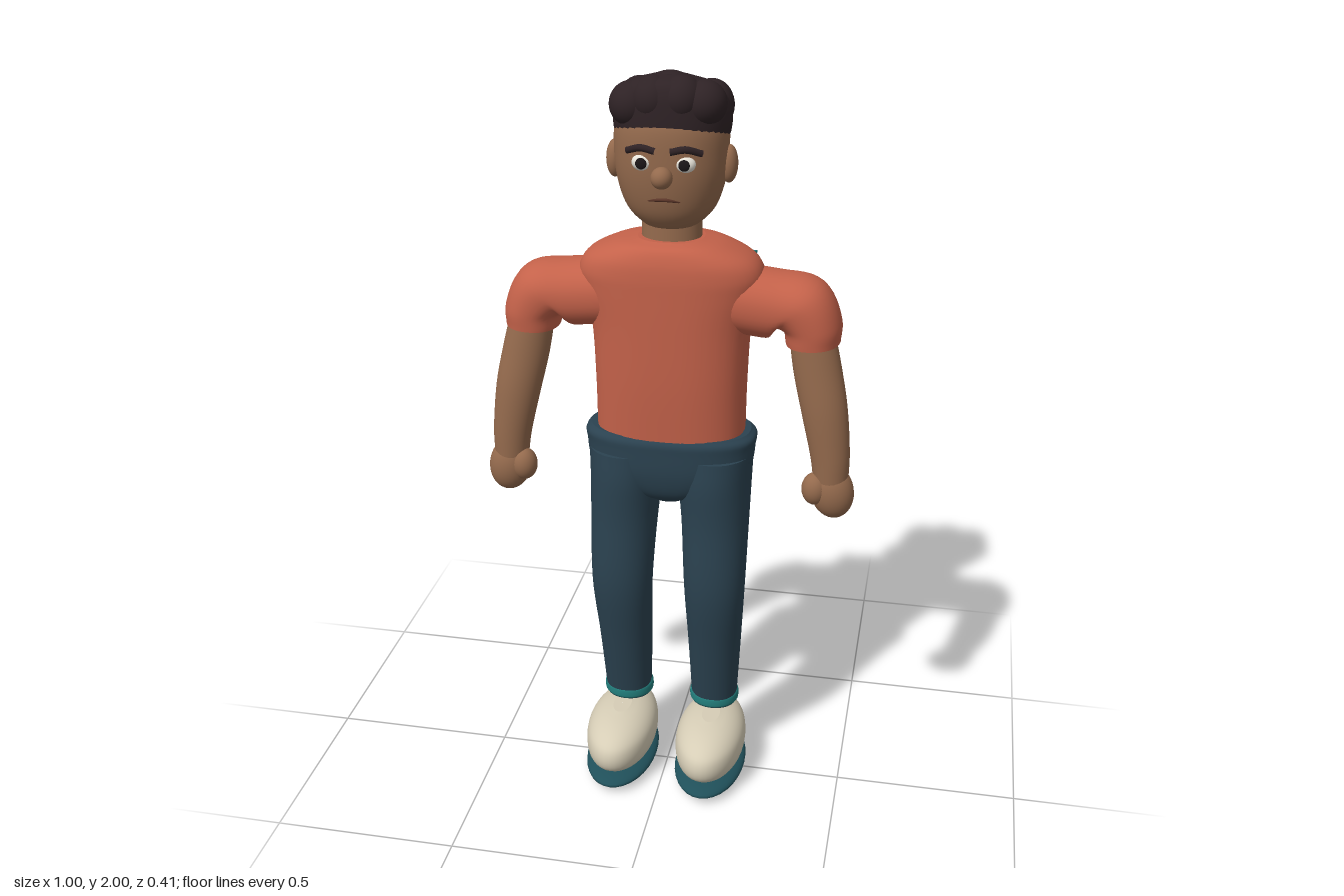
import * as THREE from 'three';

const mat = (name, color) => {
  const m = new THREE.MeshStandardMaterial({ color });
  m.name = name;
  return m;
};

// Skin over elliptical rings, listed bottom to top: [x, y, z, radiusA, radiusZ, tilt]
function loft(rows, p = 2, side = 1, n = 40, steps = 6) {
  const pos = rows.map(r => new THREE.Vector3(r[0], r[1], r[2]));
  const dim = rows.map(r => new THREE.Vector3(r[3], r[4], r[5] || 0));
  const centres = new THREE.CatmullRomCurve3(pos, false, 'catmullrom');
  const sizes = new THREE.CatmullRomCurve3(dim, false, 'catmullrom');
  const count = (rows.length - 1) * steps;
  const rings = [];
  for (let i = 0; i <= count; i++) rings.push([i / count, 1]);
  rings.unshift([0, 0.01], [0, 1]); // separate rings keep the end caps crisp
  rings.push([1, 1], [1, 0.01]);
  const power = v => Math.sign(v) * Math.pow(Math.abs(v), 2 / p);
  const verts = [], index = [];
  rings.forEach(([t, k], i) => {
    const c = centres.getPoint(t), s = sizes.getPoint(t), tilt = s.z * side;
    for (let j = 0; j < n; j++) {
      const a = j / n * Math.PI * 2;
      const u = power(Math.cos(a)) * s.x * k, v = power(Math.sin(a)) * s.y * k;
      verts.push(c.x * side + u * Math.cos(tilt), c.y + u * Math.sin(tilt), c.z + v);
      if (i === rings.length - 1 || i === 1 || i === rings.length - 3) continue;
      const q = i * n + j, r = i * n + (j + 1) % n;
      index.push(q, q + n, r, r, q + n, r + n);
    }
  });
  const g = new THREE.BufferGeometry();
  g.setAttribute('position', new THREE.Float32BufferAttribute(verts, 3));
  g.setIndex(index);
  g.computeVertexNormals();
  return g;
}

export function createModel() {
  const skin = mat('skin', 0x946a4d), shirt = mat('shirt', 0xc4624a), denim = mat('trousers', 0x2b4250);
  const teal = mat('teal trim', 0x237f7d), cream = mat('shoe cream', 0xd6cdb6), soleMat = mat('sole', 0x20505a);
  const hairMat = mat('hair', 0x2e2225), white = mat('eye white', 0xe8e4da);
  const dark = mat('pupil', 0x1b1618), lip = mat('mouth', 0x5c3629);

  const model = new THREE.Group();
  model.name = 'figure';
  const add = (name, geo, material, parent = model) => {
    const m = new THREE.Mesh(geo, material);
    m.name = name;
    parent.add(m);
    return m;
  };
  const ball = (name, material, x, y, z, rx, ry, rz, parent) => {
    const m = add(name, new THREE.SphereGeometry(1, 32, 20), material, parent);
    m.position.set(x, y, z);
    m.scale.set(rx, ry, rz);
    return m;
  };
  const tube = (name, points, r, material) => add(name, new THREE.TubeGeometry(
    new THREE.CatmullRomCurve3(points.map(q => new THREE.Vector3(...q))), 24, r, 8), material);

  // Torso and hips
  add('shirtBody', loft([
    [0, 1.045, -0.055, 0.198, 0.117], [0, 1.2, -0.055, 0.2, 0.125], [0, 1.35, -0.055, 0.208, 0.127],
    [0, 1.45, -0.055, 0.232, 0.127], [0, 1.5, -0.055, 0.238, 0.126], [0, 1.54, -0.055, 0.212, 0.12],
    [0, 1.572, -0.055, 0.145, 0.104], [0, 1.585, -0.055, 0.085, 0.075]], 2.5), shirt);
  add('hips', loft([
    [0, 0.855, -0.04, 0.04, 0.05], [0, 0.89, -0.046, 0.13, 0.095], [0, 0.95, -0.053, 0.212, 0.12],
    [0, 1.02, -0.055, 0.228, 0.125], [0, 1.045, -0.055, 0.23, 0.124], [0, 1.06, -0.055, 0.215, 0.114]], 2.5), denim);

  // Bar across the shoulder blades, lens-shaped from above
  const lens = new THREE.Shape();
  lens.moveTo(-0.2, 0.196);
  lens.quadraticCurveTo(-0.19, 0.18, -0.13, 0.176);
  lens.lineTo(0.13, 0.176);
  lens.quadraticCurveTo(0.19, 0.18, 0.2, 0.196);
  lens.quadraticCurveTo(0, 0.216, -0.2, 0.196);
  const bar = add('backBar', new THREE.ExtrudeGeometry(lens, { depth: 0.12, bevelEnabled: false, curveSegments: 16 })
    .rotateX(-Math.PI / 2), teal);
  bar.position.y = 1.39;

  // Head and neck
  const neck = add('neck', new THREE.CylinderGeometry(0.076, 0.078, 0.1, 32), skin);
  neck.position.set(0, 1.6, -0.057);
  neck.scale.z = 0.85;
  add('head', loft([
    [0, 1.61, -0.053, 0.045, 0.045], [0, 1.625, -0.053, 0.075, 0.07], [0, 1.665, -0.053, 0.112, 0.097],
    [0, 1.73, -0.053, 0.135, 0.114], [0, 1.8, -0.053, 0.143, 0.12], [0, 1.88, -0.053, 0.138, 0.116],
    [0, 1.94, -0.053, 0.1, 0.085]], 2.15), skin);
  ball('nose', skin, 0, 1.765, 0.078, 0.027, 0.027, 0.028);
  tube('mouth', [[-0.04, 1.7, 0.046], [0, 1.705, 0.057], [0.04, 1.7, 0.046]], 0.0045, lip);

  // Hair cap tipped up at the front, with soft lumps on top
  const hair = new THREE.Group();
  hair.name = 'hair';
  model.add(hair);
  const cap = add('hairCap', loft([
    [0, -0.015, 0, 0.134, 0.116], [0, 0, 0, 0.144, 0.125], [0, 0.05, 0.003, 0.147, 0.127],
    [0, 0.09, 0.015, 0.132, 0.114], [0, 0.12, 0.03, 0.1, 0.085], [0, 0.137, 0.035, 0.04, 0.04]], 2.2), hairMat, hair);
  cap.position.set(0, 1.85, -0.062);
  cap.rotation.x = -0.13;
  [[-0.09, 1.922, -0.008, 0.056, 0.056, 0.06], [-0.035, 1.937, 0.002, 0.055, 0.058, 0.06],
    [0.035, 1.94, 0.002, 0.055, 0.058, 0.06], [0.088, 1.93, -0.008, 0.056, 0.056, 0.06],
    [0, 1.94, -0.035, 0.07, 0.06, 0.06], [-0.09, 1.905, -0.1, 0.057, 0.065, 0.07],
    [0.09, 1.905, -0.1, 0.057, 0.065, 0.07], [0, 1.9, -0.125, 0.07, 0.065, 0.066]
  ].forEach(l => ball('hairLump', hairMat, ...l, hair));

  for (const s of [1, -1]) {
    const tag = s > 0 ? 'left' : 'right';

    // Face details
    ball(tag + 'Ear', skin, s * 0.144, 1.775, -0.053, 0.022, 0.048, 0.027);
    ball(tag + 'Eye', white, s * 0.053, 1.795, 0.052, 0.026, 0.021, 0.018);
    ball(tag + 'Pupil', dark, s * 0.053, 1.795, 0.067, 0.014, 0.014, 0.006);
    tube(tag + 'Brow', [[s * 0.018, 1.826, 0.066], [s * 0.055, 1.832, 0.06], [s * 0.092, 1.82, 0.041]], 0.009, hairMat);

    // Sleeve, arm and hand
    add(tag + 'Sleeve', loft([
      [0.37, 1.325, -0.052, 0.07, 0.086, 0.05], [0.365, 1.37, -0.056, 0.076, 0.094, 0.15],
      [0.328, 1.418, -0.057, 0.086, 0.098, 0.75], [0.265, 1.417, -0.058, 0.087, 0.098, 1.4],
      [0.15, 1.43, -0.058, 0.088, 0.1, 1.57]], 2.2, s), shirt);
    add(tag + 'Arm', loft([
      [0.436, 0.95, -0.011, 0.046, 0.045, 0.12], [0.43, 1.03, -0.012, 0.052, 0.048, 0.15],
      [0.41, 1.15, -0.016, 0.06, 0.052, 0.18], [0.386, 1.26, -0.026, 0.062, 0.054, 0.18],
      [0.366, 1.36, -0.035, 0.058, 0.055, 0.1]], 2, s), skin);
    ball(tag + 'Hand', skin, s * 0.44, 0.922, -0.01, 0.058, 0.077, 0.05).rotation.z = s * 0.2;
    ball(tag + 'Thumb', skin, s * 0.397, 0.932, 0.006, 0.036, 0.045, 0.036);

    // Leg with cuff
    add(tag + 'Leg', loft([
      [0.126, 0.19, -0.063, 0.064, 0.06], [0.128, 0.4, -0.04, 0.074, 0.077], [0.13, 0.6, -0.008, 0.084, 0.079],
      [0.126, 0.8, -0.032, 0.092, 0.1], [0.12, 0.92, -0.05, 0.1, 0.122], [0.118, 1.0, -0.055, 0.105, 0.122]], 2.1, s), denim);
    add(tag + 'Cuff', loft([
      [0.126, 0.193, -0.063, 0.066, 0.063], [0.126, 0.2, -0.063, 0.07, 0.067],
      [0.126, 0.218, -0.063, 0.07, 0.067], [0.126, 0.226, -0.063, 0.066, 0.063]], 2, s), teal);

    // Shoe: stacked ellipses, a flat sole and a heel loop lying on the surface
    const rows = [];
    for (let i = 1; i < 12; i++) {
      const a = (i / 12 - 0.5) * Math.PI, sn = Math.sin(a);
      rows.push([0.13, 0.108 + 0.082 * Math.sign(sn) * Math.pow(Math.abs(sn), 0.8), 0.016,
        0.098 * Math.cos(a), 0.184 * Math.cos(a)]);
    }
    add(tag + 'Shoe', loft(rows, 2, s, 40, 3), cream);
    ball(tag + 'Sole', soleMat, s * 0.13, 0.028, 0.016, 0.1, 0.028, 0.187);
    const loop = [];
    for (let i = 0; i <= 8; i++) {
      const a = i / 8 * Math.PI, x = 0.045 * Math.cos(a), y = 0.108 + 0.045 * Math.sin(a);
      const dy = Math.pow((y - 0.108) / 0.082, 1.25);
      loop.push([s * 0.13 + x, y, 0.014 - 0.184 * Math.sqrt(1 - (x / 0.098) ** 2 - dy * dy)]);
    }
    tube(tag + 'HeelLoop', loop, 0.007, teal);
  }
  return model;
}
